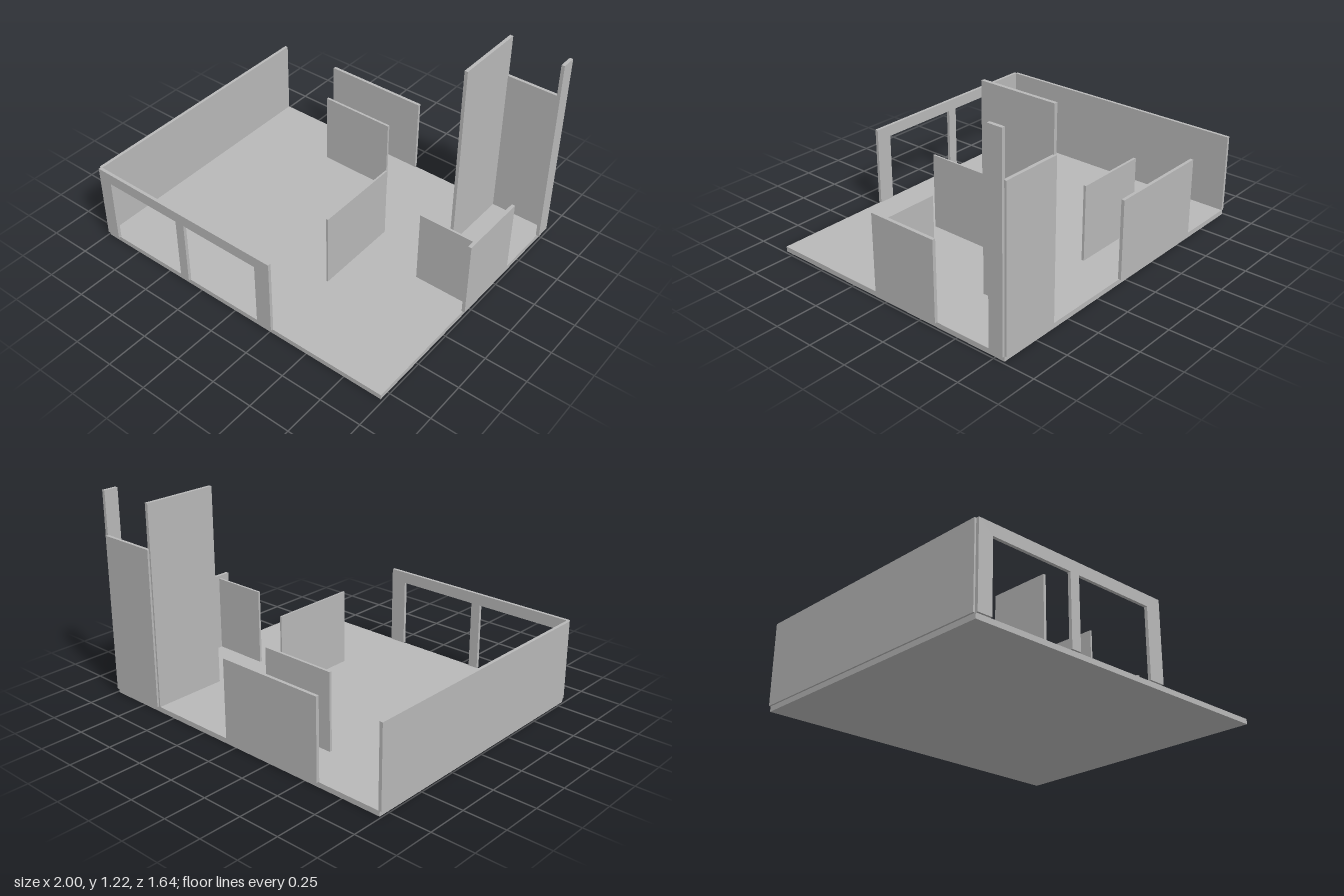
import * as THREE from 'three';

const FLOOR = 0.03, LOW = 0.503, INNER = 0.485, TALL = 1.216;

export function createModel() {
  const group = new THREE.Group();
  const plaster = new THREE.MeshStandardMaterial({ color: 0xb8b8b8 });
  plaster.name = 'plaster grey';

  // Box given by its extents on each axis
  function slab(name, [x0, x1], [y0, y1], [z0, z1]) {
    const mesh = new THREE.Mesh(new THREE.BoxGeometry(x1 - x0, y1 - y0, z1 - z0), plaster);
    mesh.position.set((x0 + x1) / 2, (y0 + y1) / 2, (z0 + z1) / 2);
    mesh.name = name;
    group.add(mesh);
  }
  const wall = (name, x, z, top) => slab(name, x, [FLOOR, top], z);

  slab('floor', [-0.99, 0.986], [0, FLOOR], [-0.808, 0.808]);

  // Outer walls
  wall('leftWall', [-1, -0.981], [-0.808, 0.802], LOW);
  wall('backWall', [-0.594, 0.06], [-0.82, -0.801], LOW);
  wall('rightWall', [0.98, 1], [-0.362, 0.067], LOW);

  // Tall corner shaft
  wall('shaftSideWall', [0.616, 0.636], [-0.808, -0.36], TALL);
  wall('shaftCornerWall', [0.98, 1], [-0.808, -0.72], TALL);
  wall('shaftBackWall', [0.626, 0.985], [-0.82, -0.801], 0.96);

  // Thin inner partitions
  wall('rearPartition', [-0.433, 0.028], [-0.548, -0.533], INNER);
  wall('middlePartition', [0.262, 0.273], [-0.192, 0.342], INNER);
  wall('rightPartition', [0.636, 0.98], [-0.01, 0.004], INNER);

  // Front wall outline with two openings reaching the floor
  const head = 0.435;
  const outline = new THREE.Shape();
  outline.moveTo(-0.99, FLOOR);
  for (const [a, b] of [[-0.903, -0.396], [-0.337, 0.17]]) {
    outline.lineTo(a, FLOOR);
    outline.lineTo(a, head);
    outline.lineTo(b, head);
    outline.lineTo(b, FLOOR);
  }
  outline.lineTo(0.268, FLOOR);
  outline.lineTo(0.268, LOW);
  outline.lineTo(-0.99, LOW);
  outline.closePath();
  const front = new THREE.Mesh(
    new THREE.ExtrudeGeometry(outline, { depth: 0.019, bevelEnabled: false }), plaster);
  front.position.z = 0.801;
  front.name = 'frontWall';
  group.add(front);

  return group;
}
